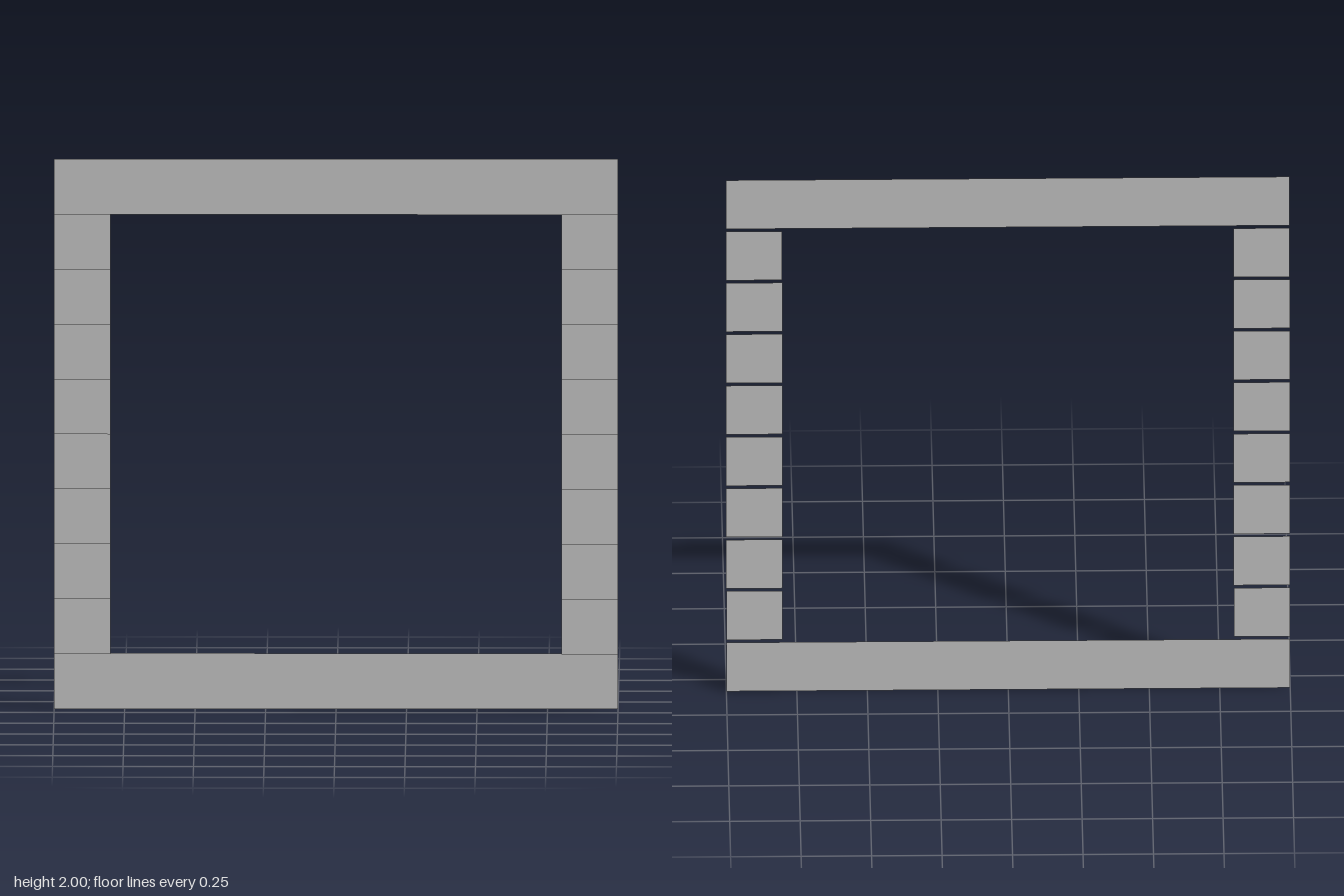
import * as THREE from 'three';

const ROWS = 10;
const SIZE = 0.2; // tile edge and row height
const STEP = 0.0185; // each row sits this much further forward than the one below

export function createModel() {
  const model = new THREE.Group();
  model.name = 'steppedFrame';
  const material = new THREE.MeshStandardMaterial({ color: 0xcccccc, side: THREE.DoubleSide });
  const barGeometry = new THREE.PlaneGeometry(2, SIZE);
  const tileGeometry = new THREE.PlaneGeometry(SIZE, SIZE);

  // Places one flat panel in the given row
  function addPanel(name, geometry, x, row) {
    const mesh = new THREE.Mesh(geometry, material);
    mesh.name = name;
    mesh.position.set(x, (row + 0.5) * SIZE, (row - (ROWS - 1) / 2) * STEP);
    model.add(mesh);
  }

  // Full-width bars at the bottom and top
  addPanel('bottomBar', barGeometry, 0, 0);
  addPanel('topBar', barGeometry, 0, ROWS - 1);

  // Square tiles stepping up both sides
  for (let row = 1; row < ROWS - 1; row++) {
    addPanel(`leftTile${row}`, tileGeometry, 0.9, row);
    addPanel(`rightTile${row}`, tileGeometry, -0.9, row);
  }
  return model;
}
